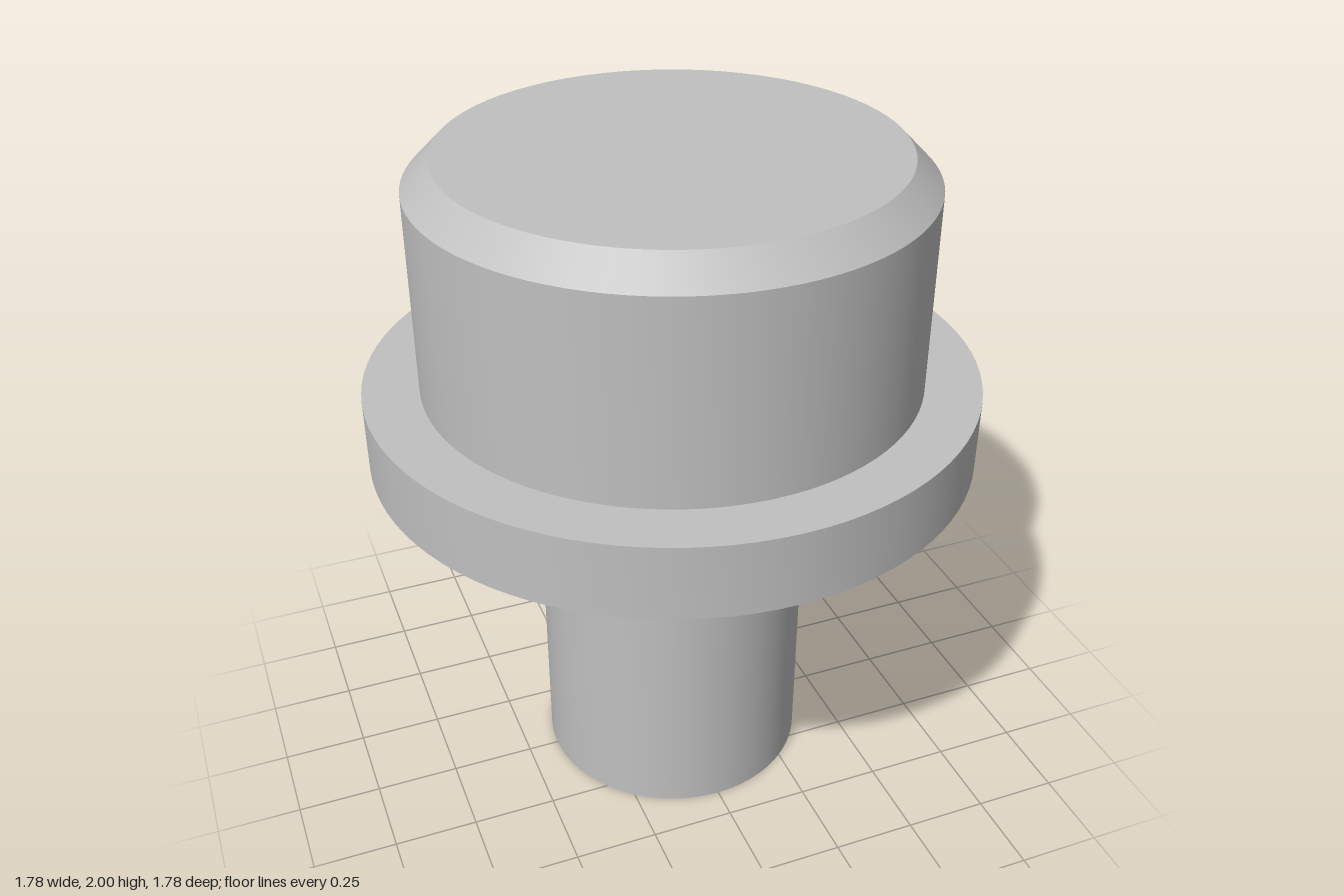
import * as THREE from 'three';
import { toCreasedNormals } from 'three/addons/utils/BufferGeometryUtils.js';

const SHAFT_R = 0.405, FLANGE_R = 0.89, HEAD_R = 0.727, TOP_R = 0.648;
const FLANGE_Y = 1.11, HEAD_Y = 1.33, CHAMFER_Y = 1.92, TOP_Y = 2;

export function createModel() {
  const model = new THREE.Group();
  const grey = new THREE.MeshStandardMaterial({ color: 0xc0c0c0 });
  grey.name = 'plain grey';

  // Turned part: profile of [radius, height] runs from bottom to top
  const turn = (name, profile) => {
    const points = profile.map(([r, y]) => new THREE.Vector2(r, y));
    const geometry = toCreasedNormals(new THREE.LatheGeometry(points, 96), Math.PI / 6);
    const mesh = new THREE.Mesh(geometry, grey);
    mesh.name = name;
    model.add(mesh);
  };

  // Shaft with a closed lower end
  turn('shaft', [[0, 0], [SHAFT_R, 0], [SHAFT_R, FLANGE_Y]]);

  // Flange: underside, rim and upper ledge
  turn('flange', [[SHAFT_R, FLANGE_Y], [FLANGE_R, FLANGE_Y], [FLANGE_R, HEAD_Y], [HEAD_R, HEAD_Y]]);

  // Head with a chamfered top edge
  turn('head', [[HEAD_R, HEAD_Y], [HEAD_R, CHAMFER_Y], [TOP_R, TOP_Y], [0, TOP_Y]]);

  return model;
}
